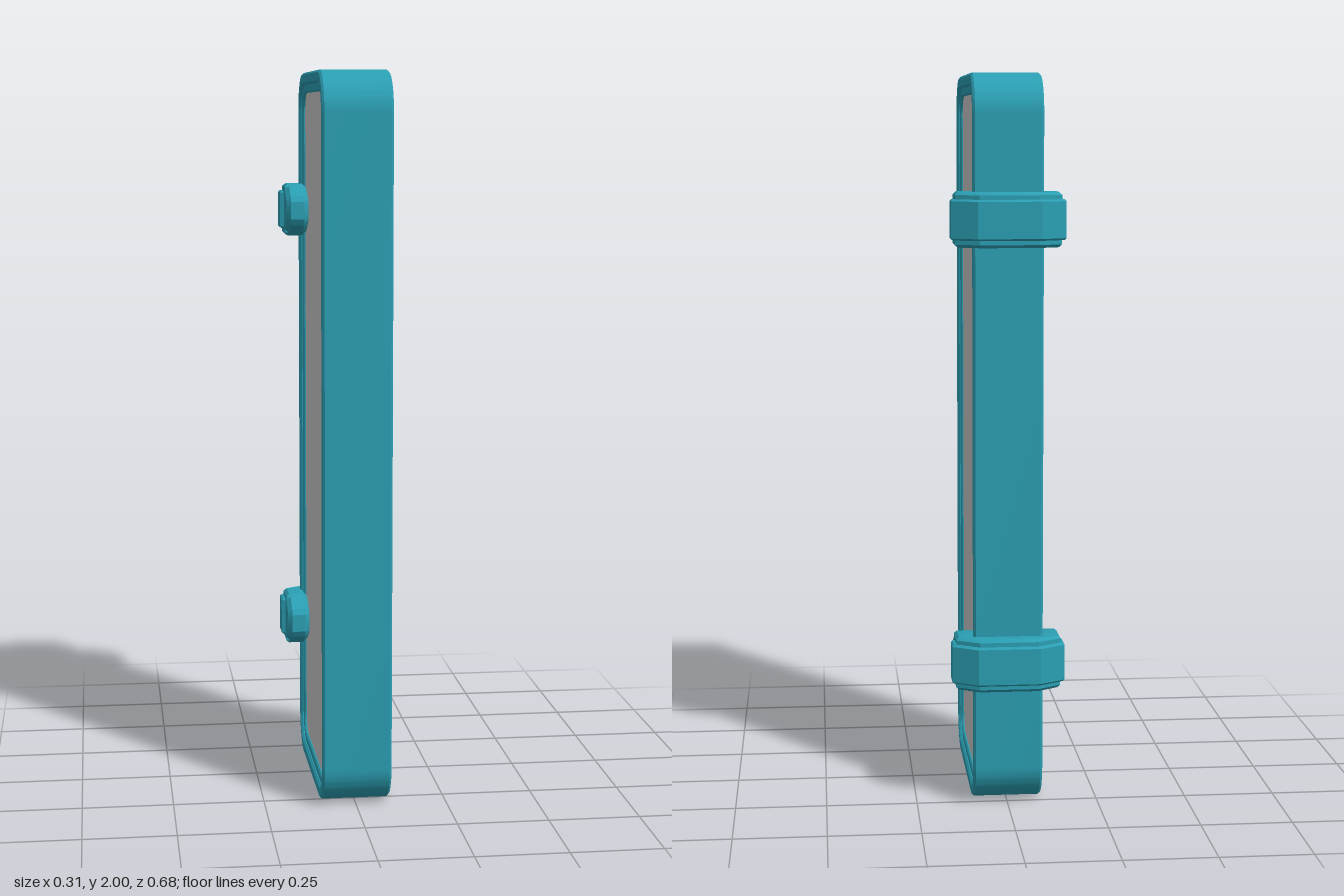
import * as THREE from 'three';
import { toCreasedNormals } from 'three/addons/utils/BufferGeometryUtils.js';

const teal = new THREE.MeshStandardMaterial({ color: 0x2b9fb3 });
const grey = new THREE.MeshStandardMaterial({ color: 0xcccccc });

// Rounded rectangle centred on the origin
function roundedRect(w, h, r, Type = THREE.Shape) {
  const s = new Type(), x = w / 2 - r, y = h / 2 - r;
  s.absarc(x, y, r, 0, Math.PI / 2);
  s.absarc(-x, y, r, Math.PI / 2, Math.PI);
  s.absarc(-x, -y, r, Math.PI, Math.PI * 1.5);
  s.absarc(x, -y, r, Math.PI * 1.5, Math.PI * 2);
  s.closePath();
  return s;
}

const polygon = (pts) => new THREE.Shape(pts.map(([x, y]) => new THREE.Vector2(x, y)));

// Extrusion centred on its depth, with a chamfer that stays inside the outline
function slab(shape, depth, bevel) {
  const g = new THREE.ExtrudeGeometry(shape, {
    depth: depth - 2 * bevel, curveSegments: 10, bevelEnabled: bevel > 0,
    bevelThickness: bevel, bevelSize: bevel, bevelOffset: -bevel, bevelSegments: 1,
  });
  return g.translate(0, 0, -(depth / 2 - bevel));
}

function addMesh(parent, name, geometry, material) {
  const mesh = new THREE.Mesh(toCreasedNormals(geometry, 0.5), material);
  mesh.name = name;
  parent.add(mesh);
  return mesh;
}

// Outline drawn in (z, y), extruded along x
const sideways = (shape, depth, bevel) => slab(shape, depth, bevel).rotateY(-Math.PI / 2);
// Outline drawn in (x, z), extruded along y
const upright = (shape, depth, bevel) => slab(shape, depth, bevel).rotateX(Math.PI / 2);

// Half of a U outline is mirrored to make the whole
const mirrored = (half) => polygon([...half, ...half.map(([x, z]) => [-x, z]).reverse()]);

function createClamp() {
  const clamp = new THREE.Group();

  // Main band wrapping round the back of the frame
  addMesh(clamp, 'clampBand', upright(mirrored([
    [0.08, -0.329], [0.143, -0.29], [0.143, -0.2], [0.09, -0.2], [0.09, -0.28],
  ]), 0.147, 0.008), teal);

  // Narrower raised strip on the outside of the band
  addMesh(clamp, 'clampStrip', upright(mirrored([
    [0.085, -0.34], [0.154, -0.297], [0.154, -0.236], [0.135, -0.228],
    [0.125, -0.28], [0.07, -0.315],
  ]), 0.108, 0.005), teal);

  // Tapered tips gripping both faces
  for (const side of [-1, 1]) {
    const tip = addMesh(clamp, side > 0 ? 'leftClampTip' : 'rightClampTip', sideways(polygon([
      [-0.28, -0.0735], [-0.21, -0.0735], [-0.15, -0.042], [-0.14, -0.025],
      [-0.14, 0.025], [-0.15, 0.042], [-0.21, 0.0735], [-0.28, 0.0735],
    ]), 0.063, 0.012), teal);
    tip.position.x = side * 0.1115;
  }
  return clamp;
}

export function createModel() {
  const model = new THREE.Group();
  model.name = 'framedPanel';

  const panel = new THREE.Group();
  panel.name = 'panel';
  panel.position.set(0, 1, 0.025);
  model.add(panel);

  // Outer frame
  const outer = roundedRect(0.63, 2, 0.11);
  outer.holes.push(roundedRect(0.562, 1.932, 0.076, THREE.Path));
  addMesh(panel, 'frame', sideways(outer, 0.19, 0.006), teal);

  // Lower inner lip
  const lip = roundedRect(0.58, 1.95, 0.085);
  lip.holes.push(roundedRect(0.518, 1.888, 0.054, THREE.Path));
  addMesh(panel, 'innerLip', sideways(lip, 0.174, 0.004), teal);

  // Flat pane showing on both faces
  addMesh(panel, 'pane', sideways(roundedRect(0.54, 1.91, 0.065), 0.16, 0), grey);

  // Two clamps on the back edge
  for (const [name, y] of [['lowerClamp', 0.405], ['upperClamp', 1.612]]) {
    const clamp = createClamp();
    clamp.name = name;
    clamp.position.y = y;
    model.add(clamp);
  }
  return model;
}
